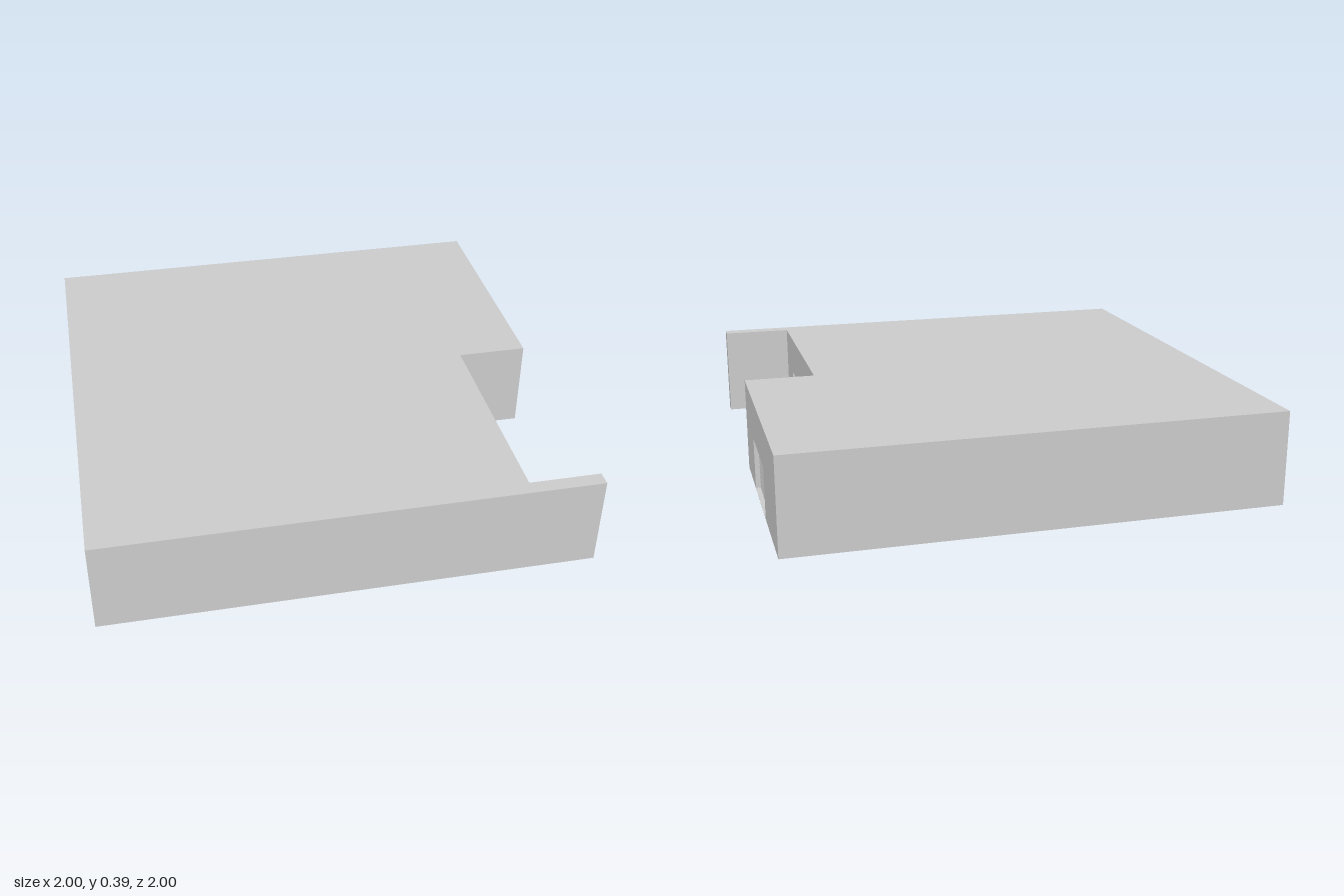
import * as THREE from 'three';

const H = 0.39, DEPTH = 0.025, INNER = 0.705;
const shellMat = new THREE.MeshStandardMaterial({ color: 0xcccccc, side: THREE.DoubleSide, flatShading: true });
const solidMat = new THREE.MeshStandardMaterial({ color: 0xcccccc, flatShading: true });

// Floor plan, counter-clockwise from above, as [x, z]
const PLAN = [[-1, 1], [1, 1], [1, 0.94], [INNER, 0.94], [INNER, 0.03], [1, 0.03], [1, -1], [-1, -1]];

// Openings by wall index; z0 > z1 for walls facing +x
const OPENINGS = {
  3: [
    { name: 'door', z0: 0.76, z1: 0.575, y0: 0.05, y1: 0.22 },
    { name: 'window', z0: 0.46, z1: 0.155, y0: 0.15, y1: 0.27 },
  ],
  5: [{ name: 'garageDoor', z0: -0.245, z1: -0.6, y0: 0.002, y1: 0.215, slats: 10 }],
};

function mesh(name, geometry, material, parent) {
  const m = new THREE.Mesh(geometry, material);
  m.name = name;
  parent.add(m);
  return m;
}

function box(name, parent, x0, x1, y0, y1, z0, z1) {
  const m = mesh(name, new THREE.BoxGeometry(x1 - x0, y1 - y0, z1 - z0), solidMat, parent);
  m.position.set((x0 + x1) / 2, (y0 + y1) / 2, (z0 + z1) / 2);
  return m;
}

function rectPath(Type, x0, x1, y0, y1) {
  return new Type([[x0, y0], [x1, y0], [x1, y1], [x0, y1]].map(([x, y]) => new THREE.Vector2(x, y)));
}

// Recessed opening: a box without its outer face, plus optional slats
function recess(o, u0, u1, wall) {
  const w = u1 - u0, h = o.y1 - o.y0;
  const geo = new THREE.BoxGeometry(w, h, DEPTH);
  const idx = Array.from(geo.index.array);
  idx.splice(24, 6);
  geo.setIndex(idx);
  geo.clearGroups();
  mesh(o.name, geo, shellMat, wall).position.set((u0 + u1) / 2, (o.y0 + o.y1) / 2, -DEPTH / 2);
  for (let i = 0; i < (o.slats || 0); i++) {
    const pitch = h / o.slats;
    const slat = mesh('garageSlat', new THREE.BoxGeometry(w, pitch * 0.85, 0.004), solidMat, wall);
    slat.position.set((u0 + u1) / 2, o.y0 + pitch * (i + 0.5), -DEPTH + 0.003);
    slat.rotation.x = -0.15;
  }
}

// Sheet wall between consecutive plan corners, with its openings
function buildWall(i, parent) {
  const [ax, az] = PLAN[i], [bx, bz] = PLAN[(i + 1) % PLAN.length];
  const wall = new THREE.Group();
  wall.name = 'wall';
  wall.position.set(ax, 0, az);
  wall.rotation.y = Math.atan2(az - bz, bx - ax);
  parent.add(wall);
  const shape = rectPath(THREE.Shape, 0, Math.hypot(bx - ax, bz - az), 0, H);
  for (const o of OPENINGS[i] || []) {
    const u0 = az - o.z0, u1 = az - o.z1;
    shape.holes.push(rectPath(THREE.Path, u0, u1, o.y0, o.y1));
    recess(o, u0, u1, wall);
  }
  mesh('wallPanel', new THREE.ShapeGeometry(shape), shellMat, wall);
}

// Sloped bar in the x-y plane with vertical ends
function slopedBar(name, parent, x0, x1, topA, topB, thick, z0, z1) {
  const s = new THREE.Shape([[x0, topA - thick], [x1, topB - thick], [x1, topB], [x0, topA]]
    .map(([x, y]) => new THREE.Vector2(x, y)));
  mesh(name, new THREE.ExtrudeGeometry(s, { depth: z1 - z0, bevelEnabled: false }), solidMat, parent).position.z = z0;
}

function buildStairs(parent) {
  const stairs = new THREE.Group();
  stairs.name = 'entranceStairs';
  parent.add(stairs);
  const xs = [INNER, 0.74, 0.785, 0.825], tops = [0.05, 0.037, 0.022];
  tops.forEach((top, i) => box('step', stairs, xs[i], xs[i + 1], 0, top, 0.525, 0.815));
  // Railing on both sides
  for (const z of [0.51, 0.815]) {
    const z1 = z + 0.015;
    box('railPost', stairs, 0.812, 0.825, 0, 0.085, z, z1);
    box('railPost', stairs, INNER, 0.718, 0, 0.105, z, z1);
    slopedBar('handrail', stairs, INNER, 0.825, 0.122, 0.1, 0.018, z, z1);
    slopedBar('stringer', stairs, INNER, 0.825, 0.055, 0.025, 0.025, z, z1);
  }
}

export function createModel() {
  const model = new THREE.Group();
  model.name = 'house';
  PLAN.forEach((_, i) => buildWall(i, model));

  // Flat roof; the underside of the building stays open
  const roofShape = new THREE.Shape(PLAN.map(([x, z]) => new THREE.Vector2(x, -z)));
  const roof = mesh('roof', new THREE.ShapeGeometry(roofShape), shellMat, model);
  roof.rotation.x = -Math.PI / 2;
  roof.position.y = H;

  buildStairs(model);
  return model;
}
